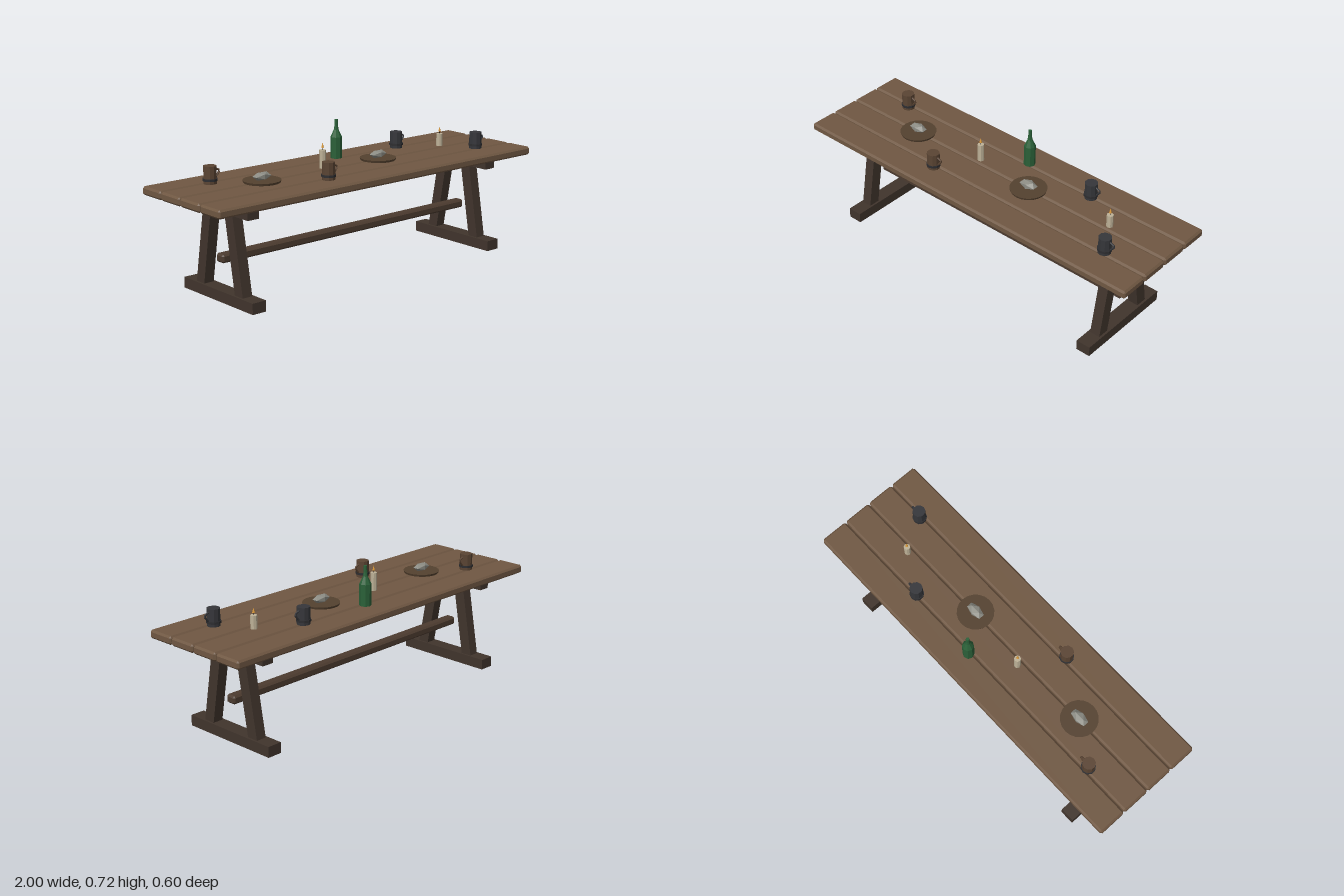
import * as THREE from 'three';
import { ConvexGeometry } from 'three/addons/geometries/ConvexGeometry.js';

const mat = (color) => new THREE.MeshStandardMaterial({ color, flatShading: true });
const M = {
  plank: mat(0x6f5742), frame: mat(0x40342c), rail: mat(0x4c3b2f), plate: mat(0x54412f),
  brown: mat(0x5a4433), dark: mat(0x35363a), band: mat(0x2d2d30), glass: mat(0x2a6038),
  wax: mat(0xbdb197), wick: mat(0x2a2420), flame: mat(0xd9983a), food: mat(0x8c8c84),
};
const TOP = 0.525;

// Box with every edge chamfered by c
function chamferBox(w, h, d, c) {
  const pts = [];
  for (const x of [-1, 1]) for (const y of [-1, 1]) for (const z of [-1, 1])
    for (let flat = 0; flat < 3; flat++)
      pts.push(new THREE.Vector3(
        x * (w / 2 - (flat === 0 ? 0 : c)),
        y * (h / 2 - (flat === 1 ? 0 : c)),
        z * (d / 2 - (flat === 2 ? 0 : c))));
  return new ConvexGeometry(pts);
}

function add(parent, name, geometry, material, x = 0, y = 0, z = 0) {
  const mesh = new THREE.Mesh(geometry, material);
  mesh.name = name;
  mesh.position.set(x, y, z);
  parent.add(mesh);
  return mesh;
}

function group(parent, name, x, y, z) {
  const g = new THREE.Group();
  g.name = name;
  g.position.set(x, y, z);
  parent.add(g);
  return g;
}

// Solid tankard with a lower band and an angular handle on +x
function addMug(parent, material, x, z) {
  const mug = group(parent, 'mug', x, TOP, z);
  add(mug, 'mugBody', new THREE.CylinderGeometry(0.032, 0.032, 0.085, 10), material, 0, 0.0425, 0);
  add(mug, 'mugBand', new THREE.CylinderGeometry(0.036, 0.036, 0.011, 10), M.band, 0, 0.02, 0);
  const path = new THREE.CurvePath();
  const p = [[0.026, 0.07], [0.056, 0.056], [0.026, 0.02]].map(([a, b]) => new THREE.Vector3(a, b, 0));
  path.add(new THREE.LineCurve3(p[0], p[1]));
  path.add(new THREE.LineCurve3(p[1], p[2]));
  add(mug, 'mugHandle', new THREE.TubeGeometry(path, 6, 0.005, 5), material);
}

function addCandle(parent, x, z, h) {
  const candle = group(parent, 'candle', x, TOP, z);
  add(candle, 'candleWax', new THREE.CylinderGeometry(0.0165, 0.0165, h, 8), M.wax, 0, h / 2, 0);
  add(candle, 'wick', new THREE.CylinderGeometry(0.0015, 0.0015, 0.014, 5), M.wick, 0, h + 0.006, 0);
  add(candle, 'flame', new THREE.ConeGeometry(0.007, 0.025, 6), M.flame, 0, h + 0.0235, 0);
}

function addPlate(parent, x) {
  const dish = group(parent, 'plateWithFood', x, TOP, 0);
  add(dish, 'plate', new THREE.CylinderGeometry(0.092, 0.088, 0.011, 20), M.plate, 0, 0.0055, 0);
  add(dish, 'food', new THREE.IcosahedronGeometry(1, 0), M.food, 0, 0.028, 0).scale.set(0.052, 0.022, 0.029);
}

export function createModel() {
  const table = new THREE.Group();
  table.name = 'table';

  // Top planks
  for (let i = 0; i < 4; i++)
    add(table, 'plank', chamferBox(2, 0.042, 0.146, 0.009), M.plank, 0, 0.504, (i - 1.5) * 0.151);

  // Trestle at each end: foot, leaning legs, beam
  for (const s of [-1, 1]) {
    const trestle = group(table, 'trestle', s * 0.766, 0, 0);
    add(trestle, 'foot', new THREE.BoxGeometry(0.076, 0.053, 0.534), M.frame, 0, 0.0285, 0);
    add(trestle, 'topBeam', new THREE.BoxGeometry(0.062, 0.053, 0.466), M.frame, 0, 0.4565, 0);
    for (const side of [-1, 1])
      add(trestle, 'leg', new THREE.BoxGeometry(0.054, 0.425, 0.059), M.frame, 0, 0.215, side * 0.121)
        .rotation.x = -side * 0.175;
  }
  add(table, 'stretcher', chamferBox(1.58, 0.042, 0.055, 0.009), M.rail, 0, 0.204, 0.001);

  // Tableware
  addMug(table, M.brown, -0.735, -0.133);
  addMug(table, M.brown, -0.27, 0.167);
  addMug(table, M.dark, 0.46, -0.148);
  addMug(table, M.dark, 0.76, 0.133);
  addPlate(table, -0.535);
  addPlate(table, 0.197);
  addCandle(table, -0.138, -0.032, 0.091);
  addCandle(table, 0.662, -0.032, 0.065);

  // Bottle
  const profile = [[0, 0], [0.029, 0], [0.029, 0.108], [0.012, 0.145], [0.009, 0.165], [0.0085, 0.197], [0, 0.197]]
    .map(([r, y]) => new THREE.Vector2(r, y));
  add(table, 'bottle', new THREE.LatheGeometry(profile, 8), M.glass, 0.064, TOP, -0.165);

  return table;
}
